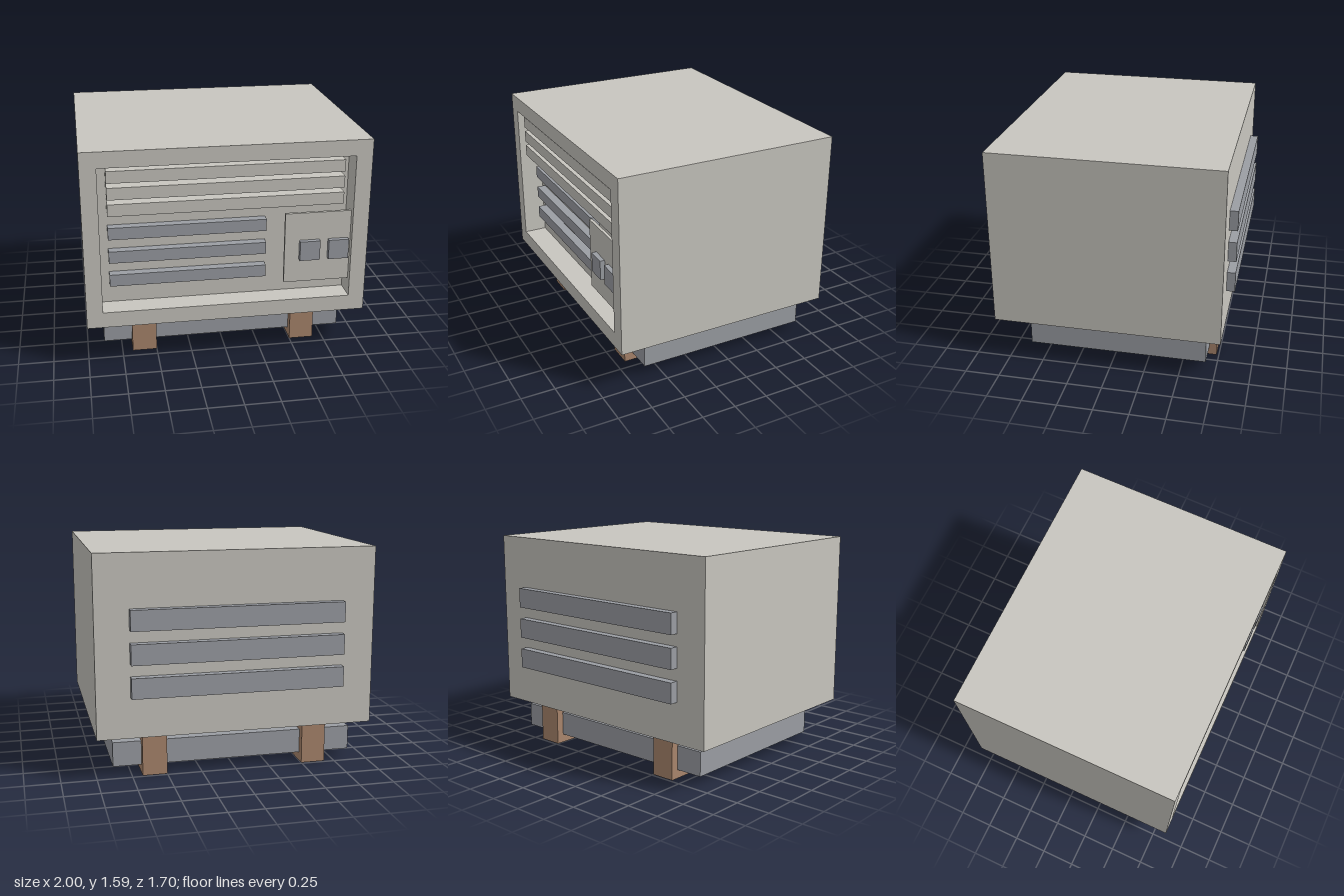
import * as THREE from 'three';

export function createModel() {
  const model = new THREE.Group();
  model.name = 'cabinet';

  const material = (name, color) => {
    const m = new THREE.MeshStandardMaterial({ color });
    m.name = name;
    return m;
  };
  const shell = material('warm grey shell', 0xc8c6bf);
  const metal = material('blue grey metal', 0x9b9ea4);
  const wood = material('brown wood', 0xaa866d);

  // Box given by its limits on each axis
  const box = (name, mat, [x0, x1], [y0, y1], [z0, z1]) => {
    const mesh = new THREE.Mesh(new THREE.BoxGeometry(x1 - x0, y1 - y0, z1 - z0), mat);
    mesh.position.set((x0 + x1) / 2, (y0 + y1) / 2, (z0 + z1) / 2);
    mesh.name = name;
    model.add(mesh);
    return mesh;
  };

  const back = -0.79, front = 0.85, recess = 0.68;

  // Main housing and the frame around the front recess
  box('housing', shell, [-1, 1], [0.3, 1.59], [back, recess]);

  const rectangle = (target, x0, x1, y0, y1) =>
    target.moveTo(x0, y0).lineTo(x1, y0).lineTo(x1, y1).lineTo(x0, y1).closePath();
  const outline = rectangle(new THREE.Shape(), -1, 1, 0.3, 1.59);
  outline.holes.push(rectangle(new THREE.Path(), -0.885, 0.885, 0.415, 1.475));
  const frame = new THREE.Mesh(
    new THREE.ExtrudeGeometry(outline, { depth: front - recess, bevelEnabled: false }), shell);
  frame.position.z = recess;
  frame.name = 'frontFrame';
  model.add(frame);

  // Upper louvres and lower vent bars inside the recess
  for (let i = 0; i < 3; i++) {
    const top = 1.442 - i * 0.118;
    box('louvre', shell, [-0.825, 0.82], [top - 0.086, top], [recess, 0.82]);
    const barTop = 1.005 - i * 0.177;
    box('frontVentBar', metal, [-0.825, 0.29], [barTop - 0.088, barTop], [recess, 0.745]);
  }

  // Control panel, fixed into the right-hand frame wall, with two buttons
  box('controlPanel', shell, [0.41, 0.95], [0.535, 1.06], [0.785, 0.807]);
  for (const x of [0.515, 0.723]) {
    box('button', metal, [x, x + 0.145], [0.71, 0.855], [0.795, 0.842]);
  }

  // Rear vent bars
  for (let i = 0; i < 3; i++) {
    const top = 1.21 - i * 0.235;
    box('rearVentBar', metal, [-0.765, 0.76], [top - 0.147, top], [-0.85, back]);
  }

  // Base tray carried between two wooden runners
  box('baseTray', metal, [-0.88, 0.88], [0.063, 0.24], [-0.677, 0.62]);
  for (const side of [-1, 1]) {
    const x = side * 0.588;
    box('runner', wood, [x - 0.088, x + 0.088], [0, 0.3], [-0.733, 0.68]);
  }

  return model;
}
